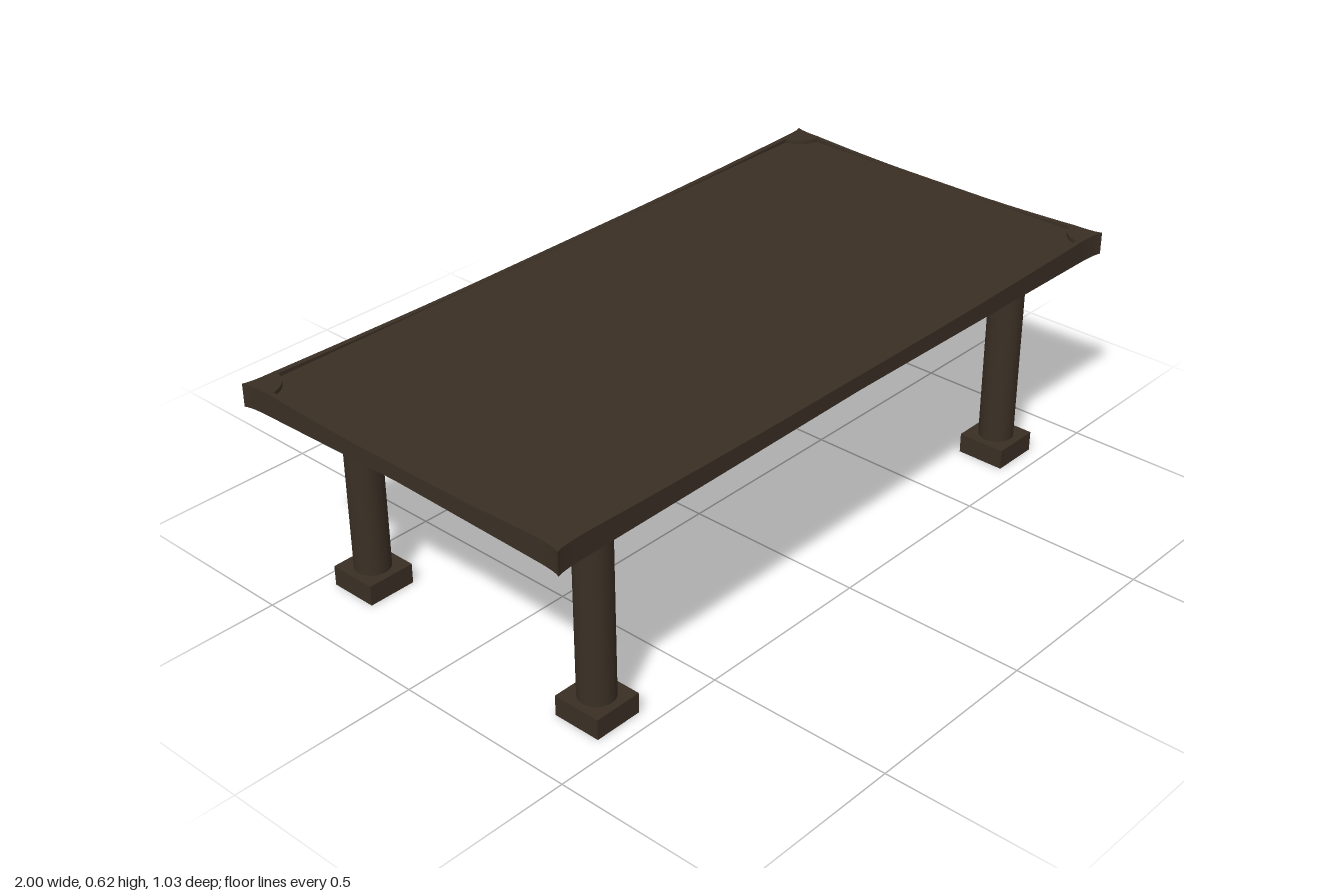
import * as THREE from 'three';

export function createModel() {
  const group = new THREE.Group();
  const wood = new THREE.MeshStandardMaterial({ color: 0x3a2f24 });
  wood.name = 'dark wood';

  const add = (name, geometry, x = 0, y = 0, z = 0) => {
    const mesh = new THREE.Mesh(geometry, wood);
    mesh.name = name;
    mesh.position.set(x, y, z);
    group.add(mesh);
    return mesh;
  };
  const box = (name, w, bottom, top, d, x, z) =>
    add(name, new THREE.BoxGeometry(w, top - bottom, d), x, (bottom + top) / 2, z);

  const W = 0.99, D = 0.506;      // edge of the table top
  const TOP = 0.616, LOW = 0.555; // height range of the corner caps

  // Flat panel
  box('tablePanel', 2 * W - 0.01, 0.566, 0.605, 2 * D - 0.01, 0, 0);

  // Edge rims that sweep from the thick corners to a slim middle
  const rim = (half) => {
    const s = new THREE.Shape();
    s.moveTo(-half, LOW);
    s.lineTo(0, 0.565);
    s.lineTo(half, LOW);
    s.lineTo(half, TOP);
    s.quadraticCurveTo(half * 0.6, 0.607, half * 0.3, 0.606);
    s.lineTo(-half * 0.3, 0.606);
    s.quadraticCurveTo(-half * 0.6, 0.607, -half, TOP);
    s.closePath();
    return new THREE.ExtrudeGeometry(s, { depth: 0.014, bevelEnabled: false, curveSegments: 8 })
      .translate(0, 0, -0.014);
  };
  for (const side of [0, 1]) {
    add('longRim', rim(W - 0.07), 0, 0, side ? -D : D).rotation.y = side * Math.PI;
    add('shortRim', rim(D - 0.07), side ? -W : W, 0, 0).rotation.y = (side ? -1 : 1) * Math.PI / 2;
  }

  // Quarter-round corner caps with flared tips
  const corner = (sx, sz) => {
    const s = new THREE.Shape();
    const r = 0.078;
    s.moveTo(sx * (W - r), sz * D);
    s.quadraticCurveTo(sx * (W - 0.01), sz * D, sx, sz * 0.515);
    s.quadraticCurveTo(sx * W, sz * (D - 0.01), sx * W, sz * (D - r));
    for (let i = 1; i < 10; i++) {
      const a = (i / 10) * Math.PI / 2;
      s.lineTo(sx * (W - r * Math.sin(a)), sz * (D - r * Math.cos(a)));
    }
    s.closePath();
    const g = new THREE.ExtrudeGeometry(s, { depth: TOP - LOW, bevelEnabled: false, curveSegments: 6 });
    add('cornerCap', g.rotateX(Math.PI / 2), 0, TOP, 0);
  };

  // Legs: square foot, round column, square capital
  const LX = 0.772, LZ = 0.385, B = 0.134;
  for (const sx of [-1, 1]) {
    for (const sz of [-1, 1]) {
      corner(sx, sz);
      box('legFoot', B, 0, 0.055, B, sx * LX, sz * LZ);
      box('legCapital', B, 0.51, 0.567, B, sx * LX, sz * LZ);
      add('legColumn', new THREE.CylinderGeometry(0.047, 0.047, 0.46, 32), sx * LX, 0.282, sz * LZ);
    }
  }

  // Long rails under the top
  for (const sz of [-1, 1]) box('rail', 2 * LX, 0.504, 0.567, 0.05, 0, sz * LZ);

  return group;
}
